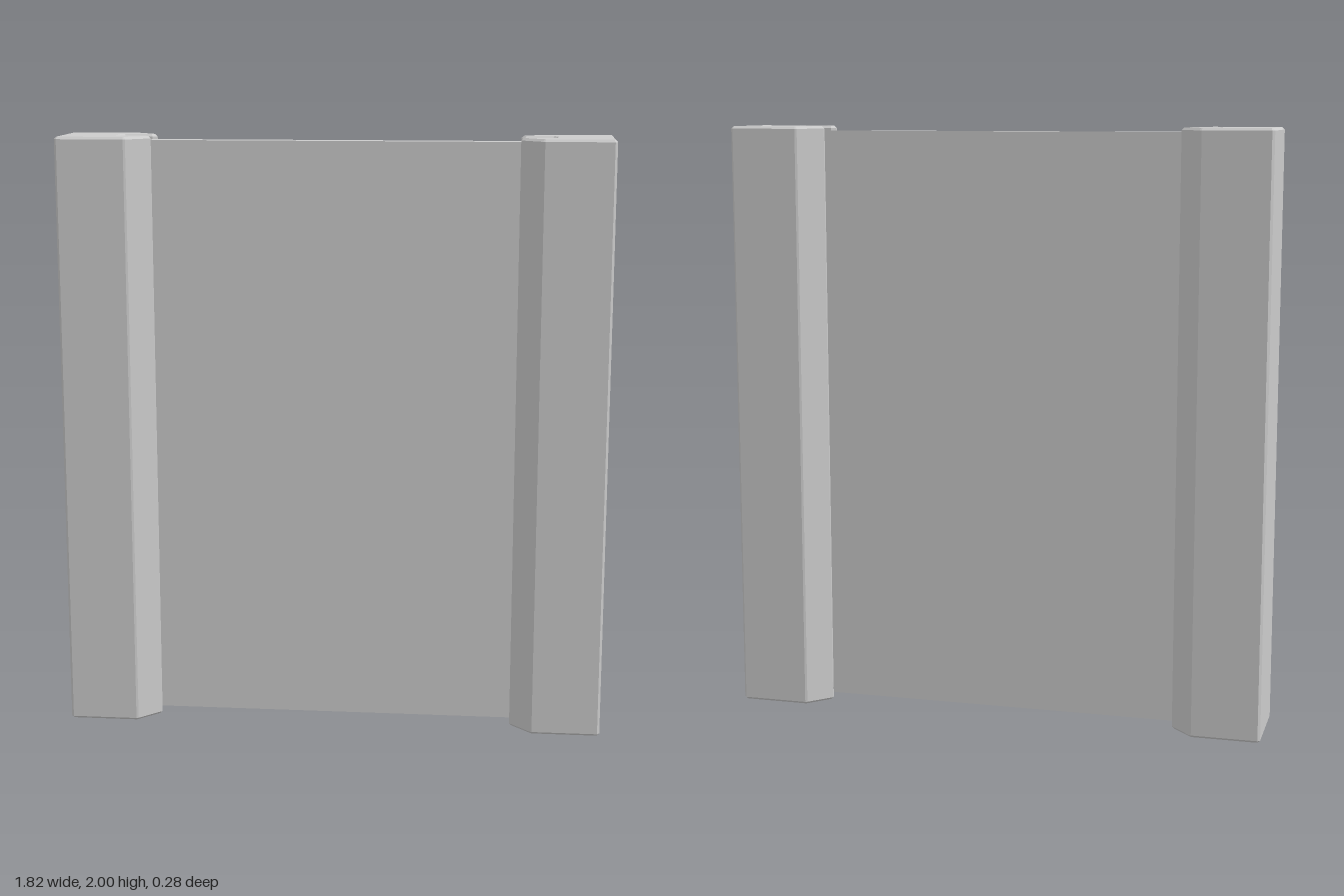
import * as THREE from 'three';

const BEVEL = 0.008;
const material = new THREE.MeshStandardMaterial({ color: 0xcccccc });

// Grooved post cross-section: one half, mirrored across the panel plane
function postGeometry() {
  const half = [
    [0.717, 0.043 - 0.008], [0.709, 0.043], [0.618, 0.043], // groove
    [0.605, 0.057], [0.605, 0.066],                         // lip
    [0.674, 0.137], [0.681, 0.14],                          // slanted shoulder
    [0.902, 0.14], [0.91, 0.132],                           // outer corner
  ];
  const outline = [...half, ...half.map(([x, z]) => [x, -z]).reverse()];
  const shape = new THREE.Shape(outline.map(([x, z]) => new THREE.Vector2(x, z)));
  const geometry = new THREE.ExtrudeGeometry(shape, {
    depth: 2 - 2 * BEVEL,
    bevelEnabled: true,
    bevelThickness: BEVEL,
    bevelSize: BEVEL,
    bevelOffset: -BEVEL,
    bevelSegments: 1,
  });
  geometry.translate(0, 0, BEVEL);
  geometry.rotateX(-Math.PI / 2);
  return geometry;
}

export function createModel() {
  const model = new THREE.Group();
  model.name = 'panelBetweenPosts';

  // Two posts with their grooves facing each other
  const post = postGeometry();
  for (const [name, turn] of [['leftPost', 0], ['rightPost', Math.PI]]) {
    const mesh = new THREE.Mesh(post, material);
    mesh.name = name;
    mesh.rotation.y = turn;
    model.add(mesh);
  }

  // Flat panel reaching just into the grooves
  const panel = new THREE.Mesh(new THREE.BoxGeometry(1.228, 1.97, 0.056), material);
  panel.name = 'panel';
  panel.position.y = 1;
  model.add(panel);

  return model;
}
